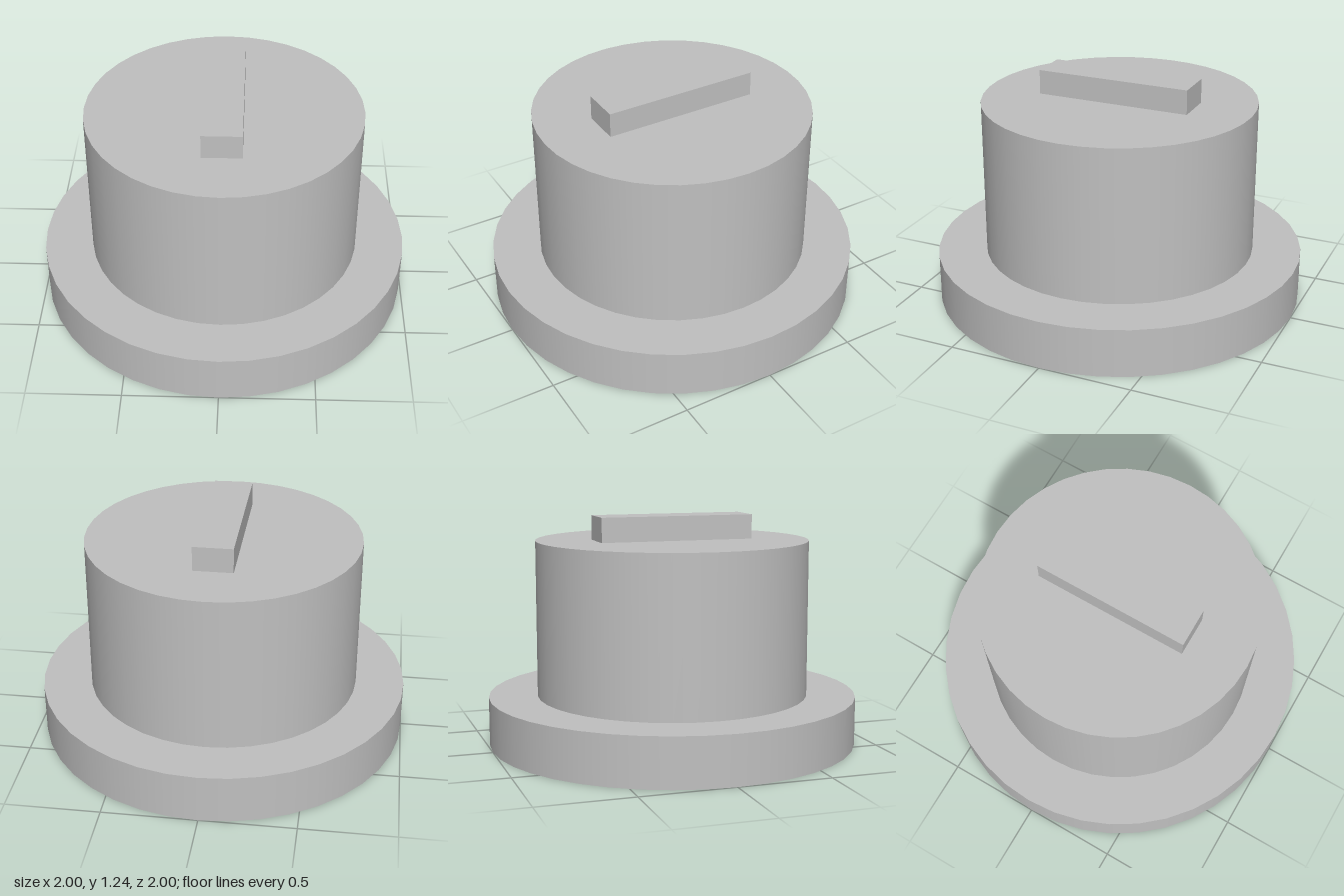
import * as THREE from 'three';

// Stepped round knob with a raised grip bar on top
export function createModel() {
  const group = new THREE.Group();
  const grey = new THREE.MeshStandardMaterial({ color: 0xc0c0c0 });
  grey.name = 'plain grey';

  const baseTop = 0.263, bodyTop = 1.105, barTop = 1.237;

  const add = (name, geometry, bottom, top) => {
    const mesh = new THREE.Mesh(geometry, grey);
    mesh.name = name;
    mesh.position.y = (bottom + top) / 2;
    group.add(mesh);
  };
  const disc = (radius, height) => new THREE.CylinderGeometry(radius, radius, height, 40);

  // Wide flange
  add('baseFlange', disc(1, baseTop), 0, baseTop);
  // Narrower drum
  add('knobBody', disc(0.737, bodyTop - baseTop), baseTop, bodyTop);
  // Grip bar running front to back
  add('gripBar', new THREE.BoxGeometry(0.21, barTop - bodyTop, 0.842), bodyTop, barTop);

  return group;
}
